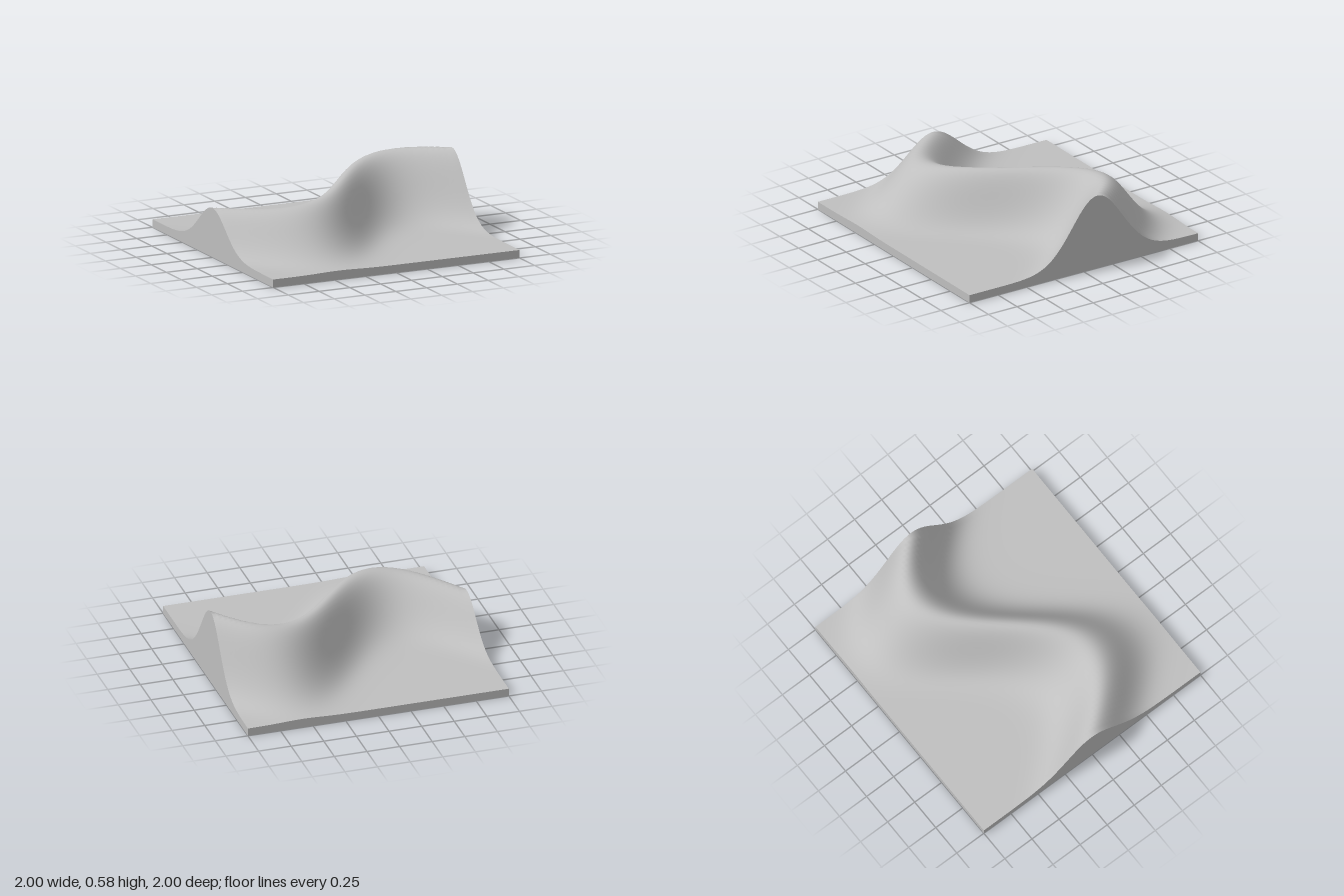
import * as THREE from 'three';

const SEGMENTS = 64;
const BASE = 0.06;

// Height of the ground: a winding ridge with a bell-shaped section, rising toward +x
function heightAt(x, z) {
  const crestZ = -0.4 * Math.sin(3 * x - 0.16);
  const crestHeight = 0.415 + 0.105 * x;
  return BASE + crestHeight * Math.exp(-((z - crestZ) ** 2) / 0.095);
}

function reshape(geometry, rule) {
  const p = geometry.attributes.position;
  for (let i = 0; i < p.count; i++) {
    p.setY(i, rule(p.getX(i), p.getY(i), p.getZ(i)));
  }
  geometry.computeVertexNormals();
  return geometry;
}

export function createModel() {
  const model = new THREE.Group();
  model.name = 'ridgeTerrain';
  const stone = new THREE.MeshStandardMaterial({ color: 0xbfbfbf });
  stone.name = 'stone grey';

  const add = (name, geometry) => {
    const mesh = new THREE.Mesh(geometry, stone);
    mesh.name = name;
    model.add(mesh);
  };

  // Rolling top surface
  const top = new THREE.PlaneGeometry(2, 2, SEGMENTS, SEGMENTS).rotateX(-Math.PI / 2);
  add('terrainSurface', reshape(top, (x, y, z) => heightAt(x, z)));

  // Four cut sides that follow the surface edge down to the ground
  ['frontWall', 'leftWall', 'backWall', 'rightWall'].forEach((name, i) => {
    const wall = new THREE.PlaneGeometry(2, 1, SEGMENTS, 1)
      .translate(0, 0, 1)
      .rotateY((i * Math.PI) / 2);
    add(name, reshape(wall, (x, y, z) => (y > 0 ? heightAt(x, z) : 0)));
  });

  // Flat underside
  add('underside', new THREE.PlaneGeometry(2, 2).rotateX(Math.PI / 2));

  return model;
}
